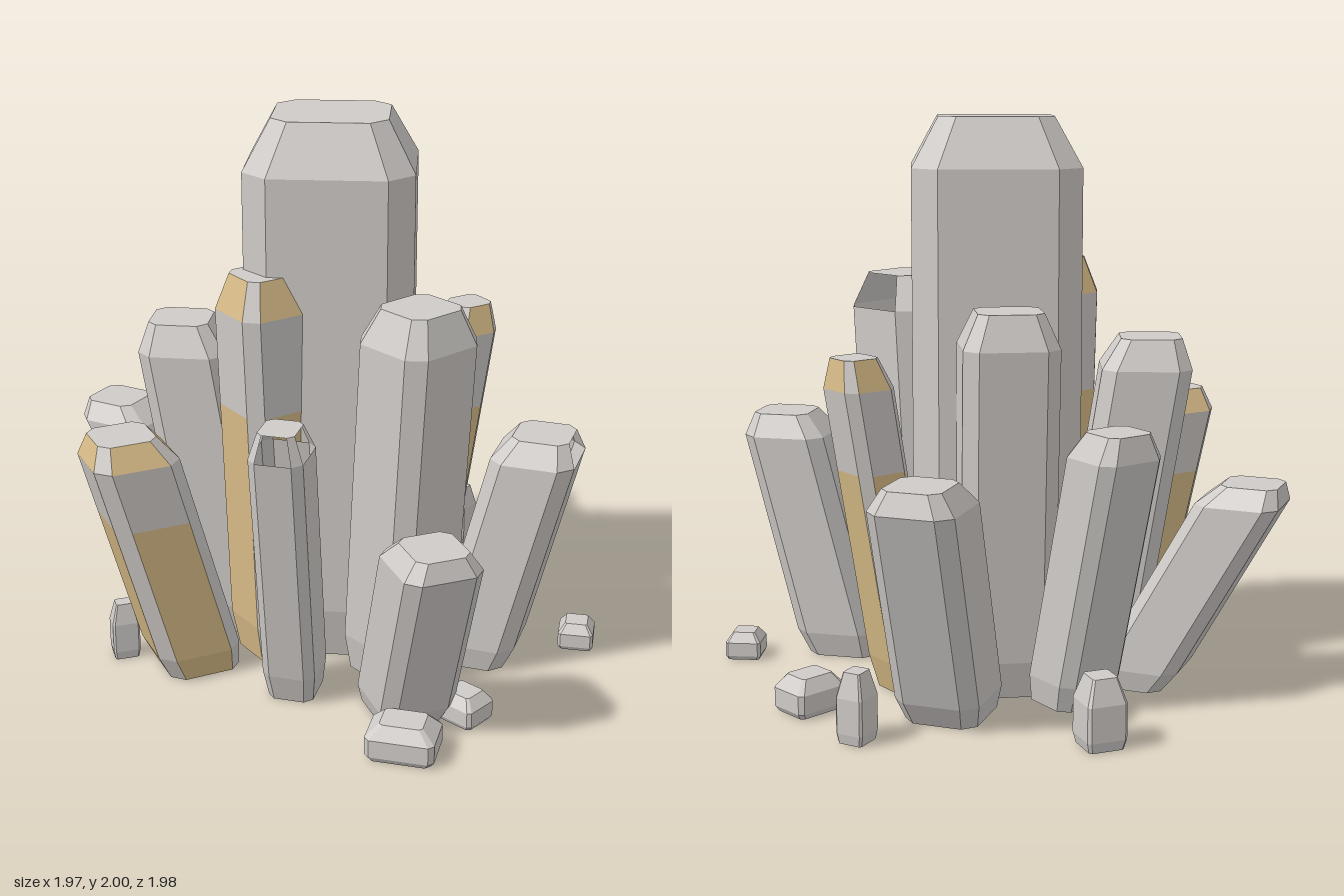
import * as THREE from 'three';

const stone = new THREE.MeshStandardMaterial({ color: 0xcfcbc8, side: THREE.DoubleSide });
stone.name = 'pale grey stone';
const amber = new THREE.MeshStandardMaterial({ color: 0xd8bc88, side: THREE.DoubleSide });
amber.name = 'amber';

// Rectangle with cut corners; even edges are the broad sides, odd ones the cut corners
function octagon(w, d, c) {
  const a = w - c, b = d - c;
  return [[w, -b], [w, b], [a, d], [-a, d], [-w, b], [-w, -b], [-a, -d], [a, -d]];
}

function addMesh(group, name, positions, material) {
  if (!positions.length) return;
  const geometry = new THREE.BufferGeometry();
  geometry.setAttribute('position', new THREE.Float32BufferAttribute(positions, 3));
  geometry.computeVertexNormals();
  const mesh = new THREE.Mesh(geometry, material);
  mesh.name = name;
  group.add(mesh);
}

// Leaning prism: base and top are centres [x, z], levels are [height fraction, scale]
function prism(name, { base, top, h, w, d, c, turn, levels, banded = false, open = [] }) {
  const group = new THREE.Group();
  group.name = name;
  const cos = Math.cos(turn), sin = Math.sin(turn);
  const rings = levels.map(([t, s]) => octagon(w * s, d * s, c * s).map(([u, v]) => [
    base[0] + (top[0] - base[0]) * t + u * cos - v * sin,
    h * t,
    base[1] + (top[1] - base[1]) * t + u * sin + v * cos,
  ]));
  const grey = [], gold = [];
  const last = rings.length - 1;

  // Sides: amber skips the upper body and the cut corners
  for (let k = 0; k < last; k++) {
    for (let i = 0; i < 8; i++) {
      const isTip = k === last - 1;
      if (isTip && open.includes(i)) continue;
      const j = (i + 1) % 8;
      const [lowA, lowB, highB, highA] = [rings[k][i], rings[k][j], rings[k + 1][j], rings[k + 1][i]];
      const target = banded && i % 2 === 0 && k !== last - 2 ? gold : grey;
      target.push(...lowA, ...highA, ...highB, ...lowA, ...highB, ...lowB);
    }
  }
  // Flat top and foot
  for (let i = 1; i < 7; i++) {
    grey.push(...rings[last][0], ...rings[last][i + 1], ...rings[last][i]);
    grey.push(...rings[0][0], ...rings[0][i], ...rings[0][i + 1]);
  }
  addMesh(group, name + 'Stone', grey, stone);
  addMesh(group, name + 'Amber', gold, amber);
  return group;
}

const crystalLevels = [[0, 0.86], [0.1, 1], [0.67, 1], [0.912, 1], [1, 0.68]];
const shardLevels = [[0, 0.88], [0.15, 1], [0.65, 1], [1, 0.62]];

const crystals = [
  { name: 'centreCrystal', base: [0, -0.025], top: [0, -0.025], h: 2, w: 0.297, d: 0.268, c: 0.09, turn: 0.07 },
  { name: 'backCrystal', base: [0, -0.31], top: [0, -0.43], h: 1.36, w: 0.165, d: 0.157, c: 0.05, turn: 0 },
  { name: 'backLeftCrystal', base: [0.21, -0.56], top: [0.33, -0.82], h: 0.86, w: 0.15, d: 0.165, c: 0.05, turn: 0.45 },
  { name: 'amberBackCrystal', base: [0.34, -0.27], top: [0.52, -0.36], h: 1.2, w: 0.1, d: 0.1, c: 0.035, turn: -0.55, banded: true },
  { name: 'leftCrystal', base: [0.53, 0.18], top: [0.75, 0.24], h: 0.91, w: 0.15, d: 0.15, c: 0.05, turn: 0.33, open: [0] },
  { name: 'frontLeftCrystal', base: [0.24, 0.27], top: [0.3, 0.335], h: 1.41, w: 0.17, d: 0.165, c: 0.055, turn: -0.72, open: [0] },
  { name: 'frontCrystal', base: [0.25, 0.57], top: [0.33, 0.84], h: 0.76, w: 0.14, d: 0.15, c: 0.045, turn: -0.36, open: [0] },
  { name: 'slimFrontCrystal', base: [-0.13, 0.44], top: [-0.17, 0.63], h: 1.09, w: 0.095, d: 0.11, c: 0.032, turn: 0.26, open: [0, 2, 4, 6] },
  { name: 'amberTallCrystal', base: [-0.2, 0.12], top: [-0.24, 0.17], h: 1.48, w: 0.145, d: 0.135, c: 0.045, turn: -0.6, banded: true },
  { name: 'amberFrontCrystal', base: [-0.5, 0.24], top: [-0.73, 0.35], h: 0.95, w: 0.155, d: 0.145, c: 0.05, turn: -0.43, banded: true },
  { name: 'rightCrystal', base: [-0.36, -0.09], top: [-0.55, -0.12], h: 1.22, w: 0.16, d: 0.15, c: 0.05, turn: 0.12 },
  { name: 'lowRightCrystal', base: [-0.47, -0.31], top: [-0.84, -0.5], h: 0.76, w: 0.145, d: 0.14, c: 0.045, turn: 0.5 },
  { name: 'backRightCrystal', base: [-0.21, -0.48], top: [-0.33, -0.69], h: 0.99, w: 0.13, d: 0.125, c: 0.04, turn: -0.5 },
];

// Small loose shards: x, z, height, half width, half depth, turn
const shards = [
  [-0.24, -0.91, 0.24, 0.07, 0.07, -0.25],
  [-0.23, -0.78, 0.12, 0.035, 0.04, -0.25],
  [0.54, -0.78, 0.24, 0.05, 0.055, 0.6],
  [0.69, -0.47, 0.13, 0.1, 0.08, -0.65],
  [0.2, -0.33, 0.15, 0.03, 0.03, 0.65],
  [0.35, -0.01, 0.15, 0.045, 0.06, 0.05],
  [0.92, 0.12, 0.1, 0.065, 0.065, 0.2],
  [0.46, 0.64, 0.11, 0.08, 0.07, 0.75],
  [0.24, 0.86, 0.13, 0.12, 0.09, 0.25],
  [-0.77, 0.2, 0.22, 0.05, 0.04, -0.3],
];

export function createModel() {
  const model = new THREE.Group();
  model.name = 'crystalCluster';
  for (const { name, ...shape } of crystals) model.add(prism(name, { ...shape, levels: crystalLevels }));
  shards.forEach(([x, z, h, w, d, turn], i) => {
    model.add(prism('shard' + (i + 1), { base: [x, z], top: [x, z], h, w, d, c: w * 0.15, turn, levels: shardLevels }));
  });
  return model;
}
